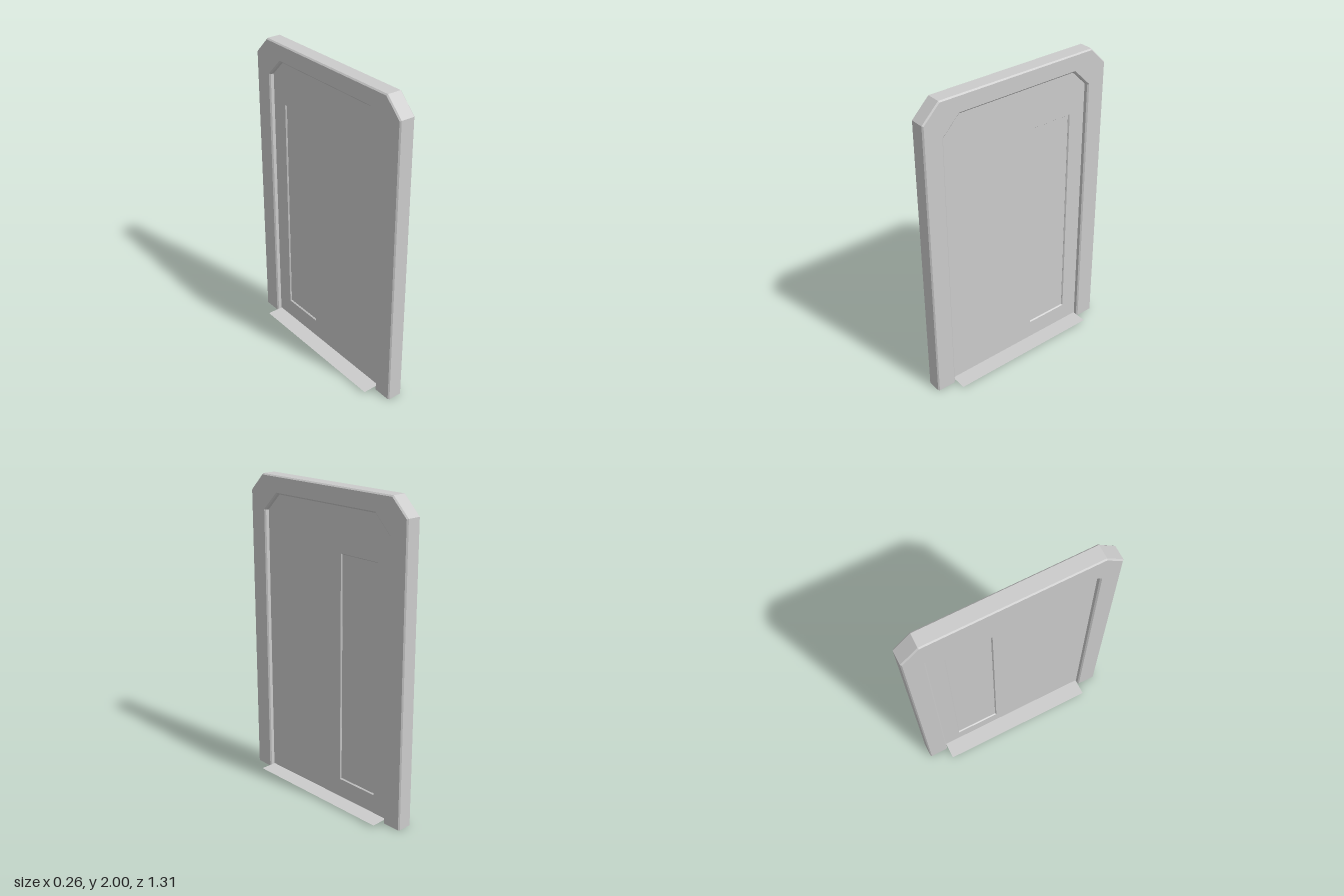
import * as THREE from 'three';

// Chamfered doorway outline as [z, y] points, from one foot over the top to the other
function outline(w, h, c) {
  return [[w, 0], [w, h - c], [w - c, h], [c - w, h], [-w, h - c], [-w, 0]];
}

// Same outline pulled inwards by b, keeping the chamfers parallel
const inset = (w, h, c, b) => outline(w - b, h - b, c - b * (2 - Math.SQRT2));

// Skin neighbouring outlines, each placed at its own x
function loft(rings) {
  const pos = [];
  const v = (r, i) => [rings[r].x, rings[r].pts[i][1], rings[r].pts[i][0]];
  for (let r = 0; r < rings.length - 1; r++) {
    for (let i = 0; i < rings[r].pts.length - 1; i++) {
      const a = v(r, i), b = v(r + 1, i), c = v(r + 1, i + 1), d = v(r, i + 1);
      pos.push(...a, ...c, ...b, ...a, ...d, ...c);
    }
  }
  const geo = new THREE.BufferGeometry();
  geo.setAttribute('position', new THREE.Float32BufferAttribute(pos, 3));
  geo.computeVertexNormals();
  return geo;
}

export function createModel() {
  const group = new THREE.Group();
  const grey = new THREE.MeshStandardMaterial({ color: 0xcccccc });
  const thin = new THREE.MeshStandardMaterial({ color: 0xcccccc, side: THREE.DoubleSide });
  const add = (name, geo, mat = grey) => {
    const mesh = new THREE.Mesh(geo, mat);
    mesh.name = name;
    group.add(mesh);
    return mesh;
  };
  const toPath = (Type, pts) => new Type(pts.map(p => new THREE.Vector2(...p)));

  // Frame: bevelled section swept over the doorway, open at the feet
  const outer = [0.657, 2, 0.112], inner = [0.526, 1.886, 0.112];
  const half = [
    { x: 0.018, pts: outline(...inner) },
    { x: 0.044, pts: outline(...inner) },
    { x: 0.052, pts: inset(...inner, -0.009) },
    { x: 0.052, pts: inset(...outer, 0.008) },
    { x: 0.044, pts: outline(...outer) },
  ];
  const mirrored = half.map(({ x, pts }) => ({ x: -x, pts })).reverse();
  add('frame', loft([...half, ...mirrored]));

  // Door leaf with a sloped-edge opening for the narrow panel
  const leaf = toPath(THREE.Shape, outline(0.535, 1.895, 0.112));
  const z0 = -0.408, z1 = -0.126, y0 = 0.14, y1 = 1.598;
  leaf.holes.push(toPath(THREE.Path, [[z0, y0], [z0, y1], [z1, y1], [z1, y0]]));
  const bevel = 0.006;
  const leafGeo = new THREE.ExtrudeGeometry(leaf, {
    depth: 0.028, bevelEnabled: true, bevelSegments: 1,
    bevelSize: bevel, bevelThickness: 0.008, bevelOffset: -bevel,
  });
  leafGeo.translate(0, 0, -0.014).rotateY(-Math.PI / 2);
  add('doorLeaf', leafGeo);

  // Recessed panel, showing on both faces
  const panel = add('doorPanel', new THREE.BoxGeometry(0.026, y1 - y0, z1 - z0));
  panel.position.set(0, (y0 + y1) / 2, (z0 + z1) / 2);

  // Paper-thin threshold plate
  const plate = new THREE.PlaneGeometry(0.264, 1.044).rotateX(-Math.PI / 2);
  add('threshold', plate, thin).position.y = 0.012;

  return group;
}
